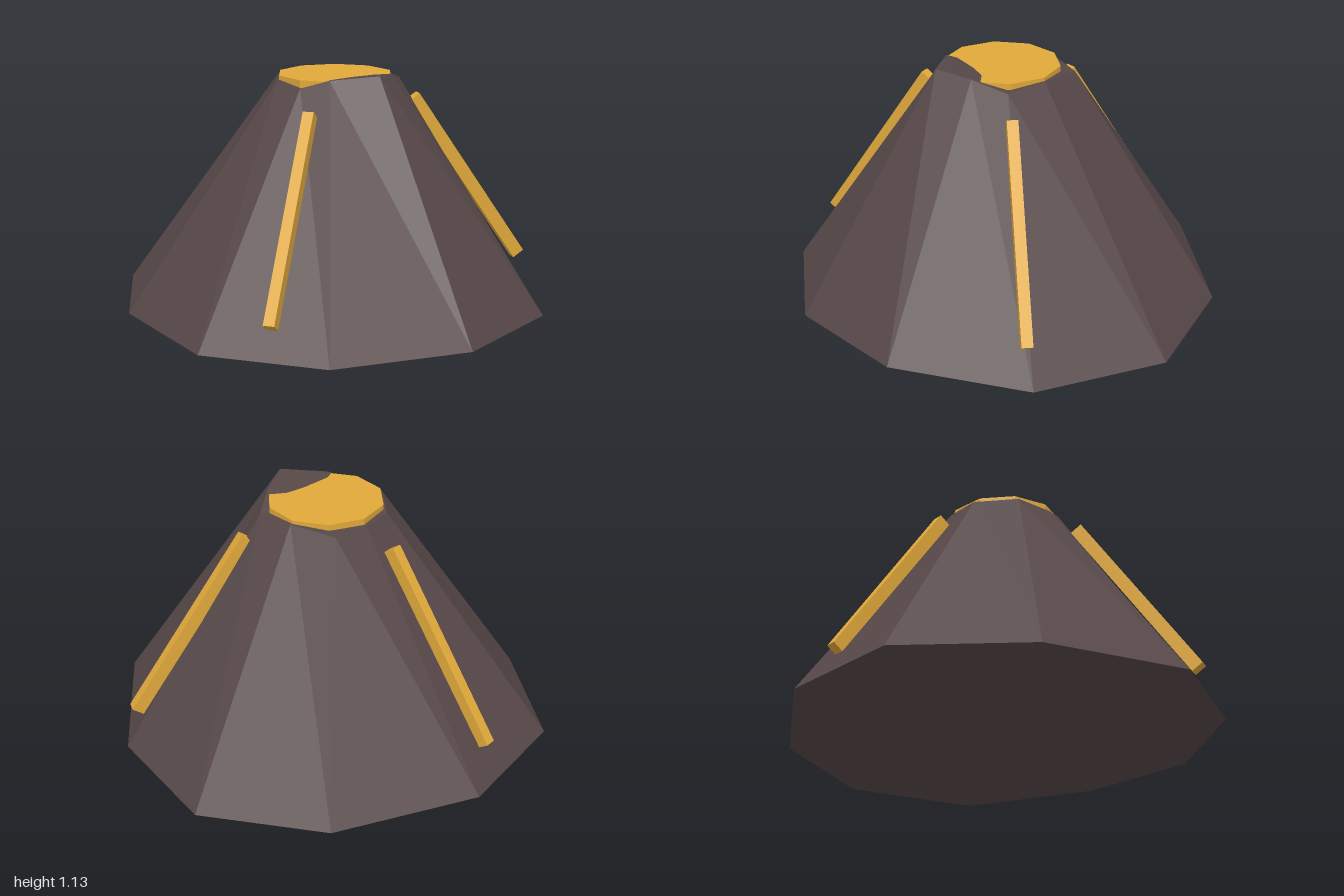
import * as THREE from 'three';

// Ring corners [x, y, z], running counter-clockwise from the front
const BASE = [
  [0, 0.045, 0.99], [0.6, 0.055, 0.8], [0.96, 0.06, 0.33], [0.96, 0.005, -0.3], [0.64, 0.01, -0.83],
  [0.06, 0.02, -1], [-0.6, 0.035, -0.81], [-0.97, 0.045, -0.35], [-0.91, 0.05, 0.27], [-0.55, 0.055, 0.84],
];
const RIM = [
  [0, 1.115, 0.26], [0.22, 1.135, 0.26], [0.28, 1.12, 0.09], [0.32, 1.08, -0.08], [0.19, 1.095, -0.22],
  [0, 1.08, -0.325], [-0.14, 1.08, -0.23], [-0.24, 1.085, -0.11], [-0.235, 1.09, 0.1], [-0.13, 1.075, 0.23],
];
const AXIS_X = 0.025;

// Faceted cone: slanted sides, uneven cap and closed underside
function coneGeometry() {
  const top = [AXIS_X, 1.09, 0];
  const bottom = [0, 0.035, 0];
  const corners = [];
  for (let i = 0; i < BASE.length; i++) {
    const j = (i + 1) % BASE.length;
    const b0 = BASE[i], b1 = BASE[j], t0 = RIM[i], t1 = RIM[j];
    corners.push(b0, b1, t0, b1, t1, t0);
    corners.push(top, t0, t1);
    corners.push(bottom, b1, b0);
  }
  const geometry = new THREE.BufferGeometry();
  geometry.setAttribute('position', new THREE.Float32BufferAttribute(corners.flat(), 3));
  geometry.computeVertexNormals();
  return geometry;
}

export function createModel() {
  const rock = new THREE.MeshStandardMaterial({ color: 0x574848 });
  rock.name = 'dark rock';
  const lava = new THREE.MeshStandardMaterial({ color: 0xe0a83a });
  lava.name = 'golden lava';

  const model = new THREE.Group();
  model.name = 'volcano';

  const cone = new THREE.Mesh(coneGeometry(), rock);
  cone.name = 'cone';
  model.add(cone);

  // Lava pool in the crater, partly covered by the raised rim
  const poolGeometry = new THREE.CylinderGeometry(0.265, 0.265, 0.04, 10).toNonIndexed();
  poolGeometry.computeVertexNormals();
  const pool = new THREE.Mesh(poolGeometry, lava);
  pool.name = 'lavaPool';
  pool.position.set(AXIS_X, 1.09, 0);
  model.add(pool);

  // Lava streams lying down the slope
  const streamGeometry = new THREE.BoxGeometry(0.05, 0.965, 0.06);
  [-17, 106.5, 227].forEach((degrees, i) => {
    const arm = new THREE.Group();
    arm.name = `lavaStream${i + 1}`;
    arm.position.x = AXIS_X;
    arm.rotation.y = THREE.MathUtils.degToRad(degrees);
    const stream = new THREE.Mesh(streamGeometry, lava);
    stream.name = 'stream';
    stream.position.set(0, 0.585, 0.649);
    stream.rotation.x = -0.6;
    arm.add(stream);
    model.add(arm);
  });

  return model;
}
